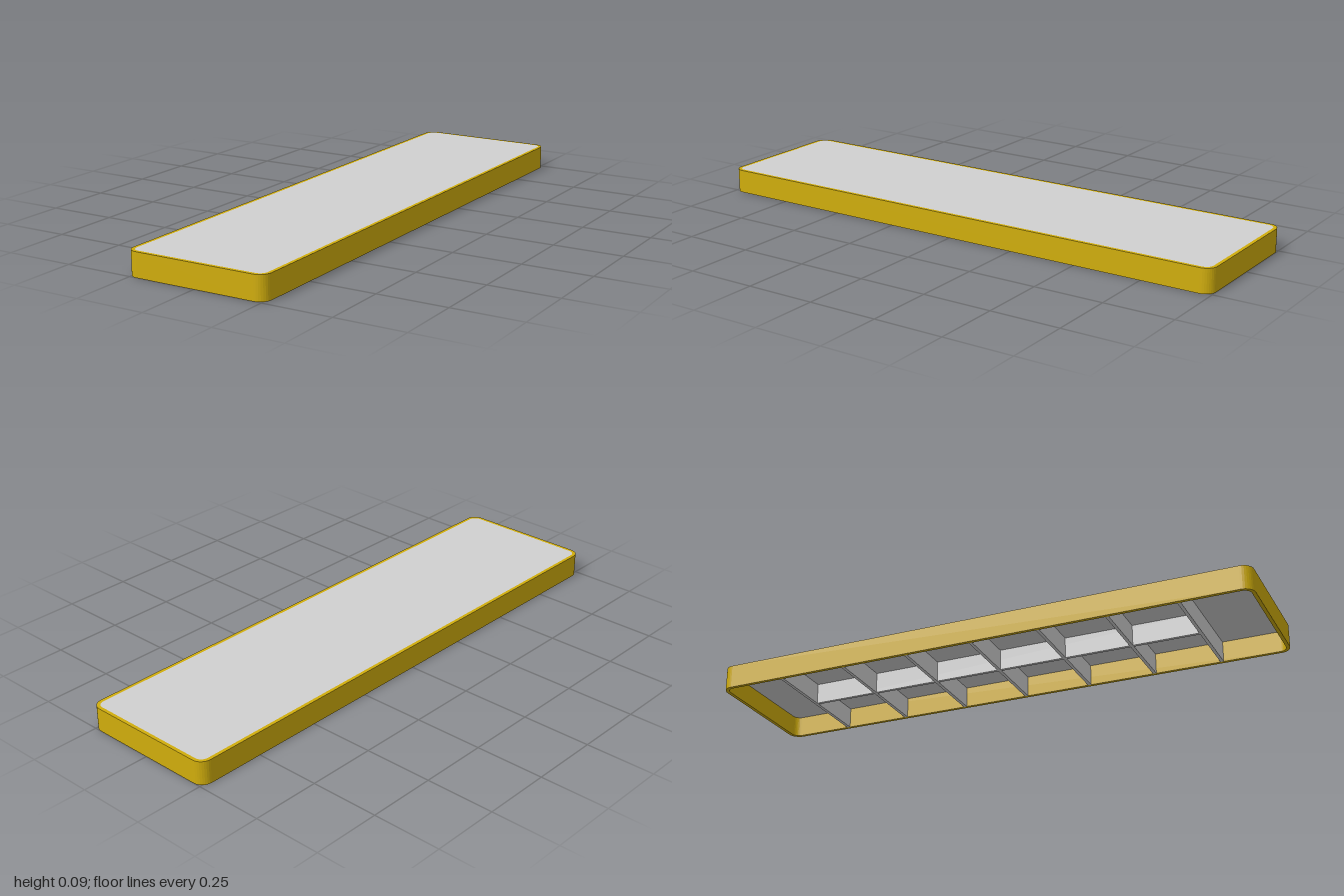
import * as THREE from 'three';

const HALF_W = 0.262, HALF_L = 1, HEIGHT = 0.086;
const WALL = 0.013, RADIUS = 0.04, PANEL = 0.01, RIB = 0.012;

// Rounded rectangle, inset from the outer edge
function outline(inset, Type = THREE.Shape) {
  const w = HALF_W - inset, l = HALF_L - inset, r = RADIUS - inset;
  const s = new Type();
  s.absarc(w - r, l - r, r, 0, Math.PI / 2);
  s.absarc(-w + r, l - r, r, Math.PI / 2, Math.PI);
  s.absarc(-w + r, -l + r, r, Math.PI, Math.PI * 1.5);
  s.absarc(w - r, -l + r, r, Math.PI * 1.5, Math.PI * 2);
  s.closePath();
  return s;
}

// Extrude a plan outline upwards from height y
function slab(shape, y, depth) {
  return new THREE.ExtrudeGeometry(shape, { depth, bevelEnabled: false, curveSegments: 4 })
    .rotateX(-Math.PI / 2)
    .translate(0, y, 0);
}

export function createModel() {
  const model = new THREE.Group();
  model.name = 'framedPanel';
  const gold = new THREE.MeshStandardMaterial({ color: 0xd0ad0c });
  gold.name = 'gold';
  const grey = new THREE.MeshStandardMaterial({ color: 0xd0d0d0 });
  grey.name = 'lightGrey';

  function add(name, geometry, material) {
    const mesh = new THREE.Mesh(geometry, material);
    mesh.name = name;
    model.add(mesh);
    return mesh;
  }

  // Outer rim
  const rim = outline(0);
  rim.holes.push(outline(WALL, THREE.Path));
  add('rim', slab(rim, 0, HEIGHT), gold);

  // Top panel, flush with the rim
  add('topPanel', slab(outline(WALL), HEIGHT - PANEL, PANEL), grey);

  // Ribs beneath: seven crossbars and a central spine
  const ribHeight = HEIGHT - PANEL;
  for (let i = -3; i <= 3; i++) {
    add('crossRib', new THREE.BoxGeometry(2 * (HALF_W - WALL), ribHeight, RIB), grey)
      .position.set(0, ribHeight / 2, i * 0.25);
  }
  add('spineRib', new THREE.BoxGeometry(RIB, ribHeight, 1.5), grey)
    .position.y = ribHeight / 2;

  return model;
}
